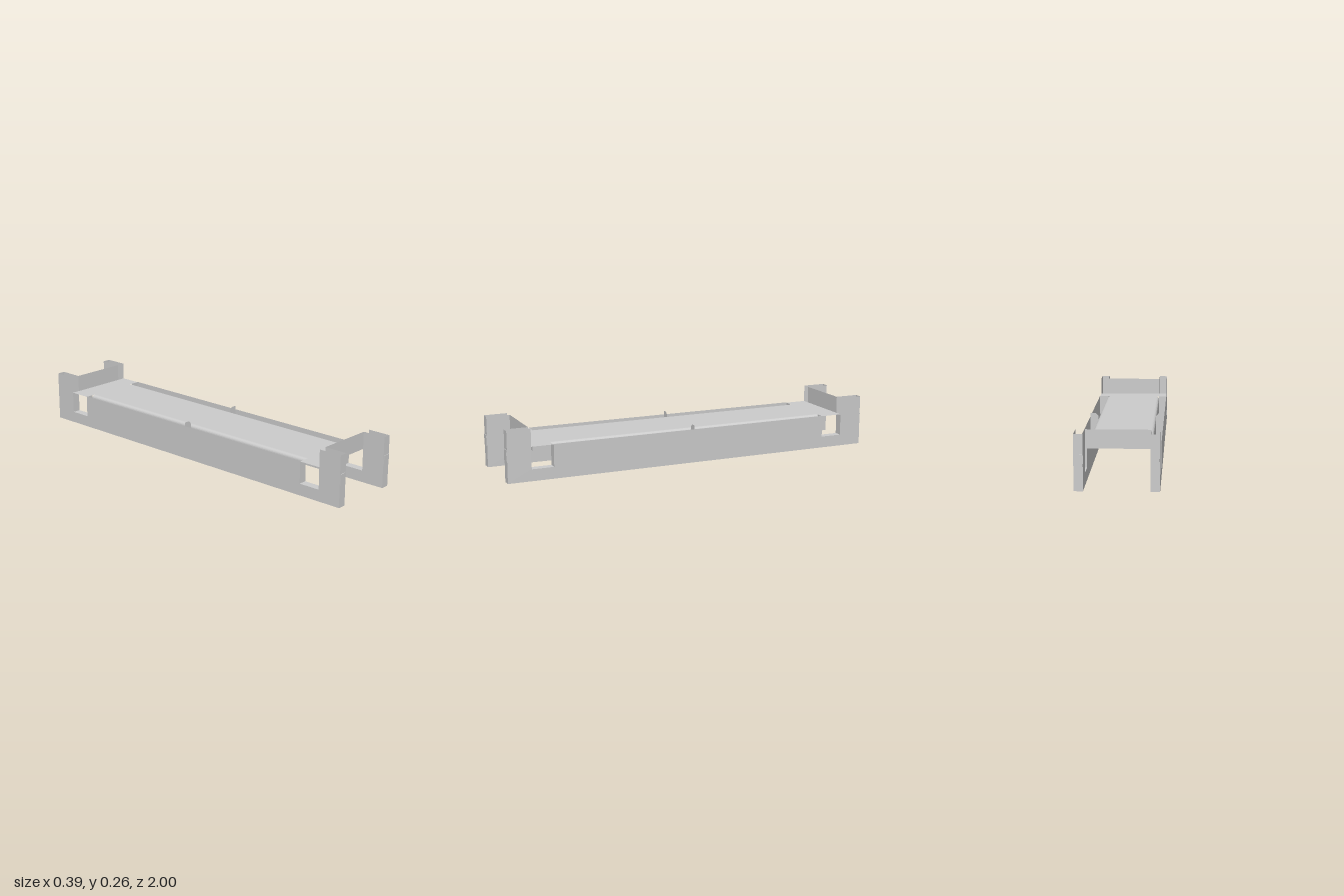
import * as THREE from 'three';

const material = new THREE.MeshStandardMaterial({ color: 0xcccccc, side: THREE.DoubleSide, flatShading: true });

// Main dimensions of the folded sheet frame
const OUT = 0.195, IN = 0.152, END = 0.997, POST = 0.875, MID = 0.76;
const TOP = 0.262, DECK = 0.173, SILL = 0.06;

function outline(points) {
  return new THREE.ShapeGeometry(new THREE.Shape(points.map(([x, y]) => new THREE.Vector2(x, y))));
}

// Upright sheet facing z
function crossSheet(x0, x1, y0, y1, z) {
  return new THREE.PlaneGeometry(x1 - x0, y1 - y0).translate((x0 + x1) / 2, (y0 + y1) / 2, z);
}

// Level sheet
function levelSheet(x0, x1, z0, z1, y) {
  return new THREE.PlaneGeometry(x1 - x0, z1 - z0).rotateX(-Math.PI / 2).translate((x0 + x1) / 2, y, (z0 + z1) / 2);
}

// Long wall with tall end posts and a notch beside each post
function sideWall(x, midTop) {
  return outline([
    [-END, 0], [END, 0], [END, TOP], [POST, TOP], [POST, SILL], [MID, SILL], [MID, midTop],
    [-MID, midTop], [-MID, SILL], [-POST, SILL], [-POST, TOP], [-END, TOP],
  ]).rotateY(-Math.PI / 2).translate(x, 0, 0);
}

// Rounded deck edge curling down to the inner wall
function deckEdge(s) {
  const r = 0.017, steps = 6, pos = [], index = [];
  for (let i = 0; i <= steps; i++) {
    const a = (i / steps) * Math.PI / 2;
    const x = s * (IN - r + r * Math.sin(a)), y = DECK - r + r * Math.cos(a);
    pos.push(x, y, -MID, x, y, MID);
    if (i < steps) {
      const k = i * 2;
      index.push(k, k + 1, k + 2, k + 1, k + 3, k + 2);
    }
  }
  const g = new THREE.BufferGeometry();
  g.setAttribute('position', new THREE.Float32BufferAttribute(pos, 3));
  g.setIndex(index);
  g.computeVertexNormals();
  return g;
}

export function createModel() {
  const model = new THREE.Group();
  const add = (parent, name, geometry) => {
    const mesh = new THREE.Mesh(geometry, material);
    mesh.name = name;
    parent.add(mesh);
  };

  // Deck
  const deck = new THREE.Group();
  deck.name = 'deck';
  model.add(deck);
  add(deck, 'deckPanel', levelSheet(-IN + 0.017, IN - 0.017, -MID, MID, DECK));
  for (const e of [-1, 1]) {
    add(deck, 'deckEnd', levelSheet(-OUT, OUT, Math.min(e * MID, e * POST), Math.max(e * MID, e * POST), DECK));
    add(deck, 'endUpstand', crossSheet(-IN, IN, DECK, TOP, e * POST));
  }

  // Hollow side rails
  for (const s of [-1, 1]) {
    const rail = new THREE.Group();
    rail.name = s > 0 ? 'leftRail' : 'rightRail';
    model.add(rail);
    const x0 = Math.min(s * IN, s * OUT), x1 = Math.max(s * IN, s * OUT);

    add(rail, 'outerWall', sideWall(s * OUT, 0.175));
    add(rail, 'innerWall', sideWall(s * IN, DECK - 0.017));
    add(rail, 'deckEdge', deckEdge(s));
    add(rail, 'railBottom', levelSheet(x0, x1, -END, END, 0));

    // Upright divider halfway along the channel
    add(rail, 'divider', outline([
      [s * IN, 0], [s * OUT, 0], [s * OUT, 0.195], [s * 0.165, 0.195], [s * IN, 0.18],
    ]));

    for (const e of [-1, 1]) {
      add(rail, 'postEnd', crossSheet(x0, x1, 0, TOP, e * END));
      add(rail, 'postReturn', crossSheet(x0, x1, SILL, DECK, e * POST));
      add(rail, 'channelEnd', crossSheet(x0, x1, SILL, DECK, e * MID));
      add(rail, 'notchSill', levelSheet(x0, x1, Math.min(e * MID, e * POST), Math.max(e * MID, e * POST), SILL));
      // Small raised pad on the end of the post
      add(rail, 'endPad', new THREE.BoxGeometry(0.038, 0.056, 0.003)
        .translate((x0 + x1) / 2, 0.14, e * (END + 0.0015)));
    }
  }
  return model;
}
